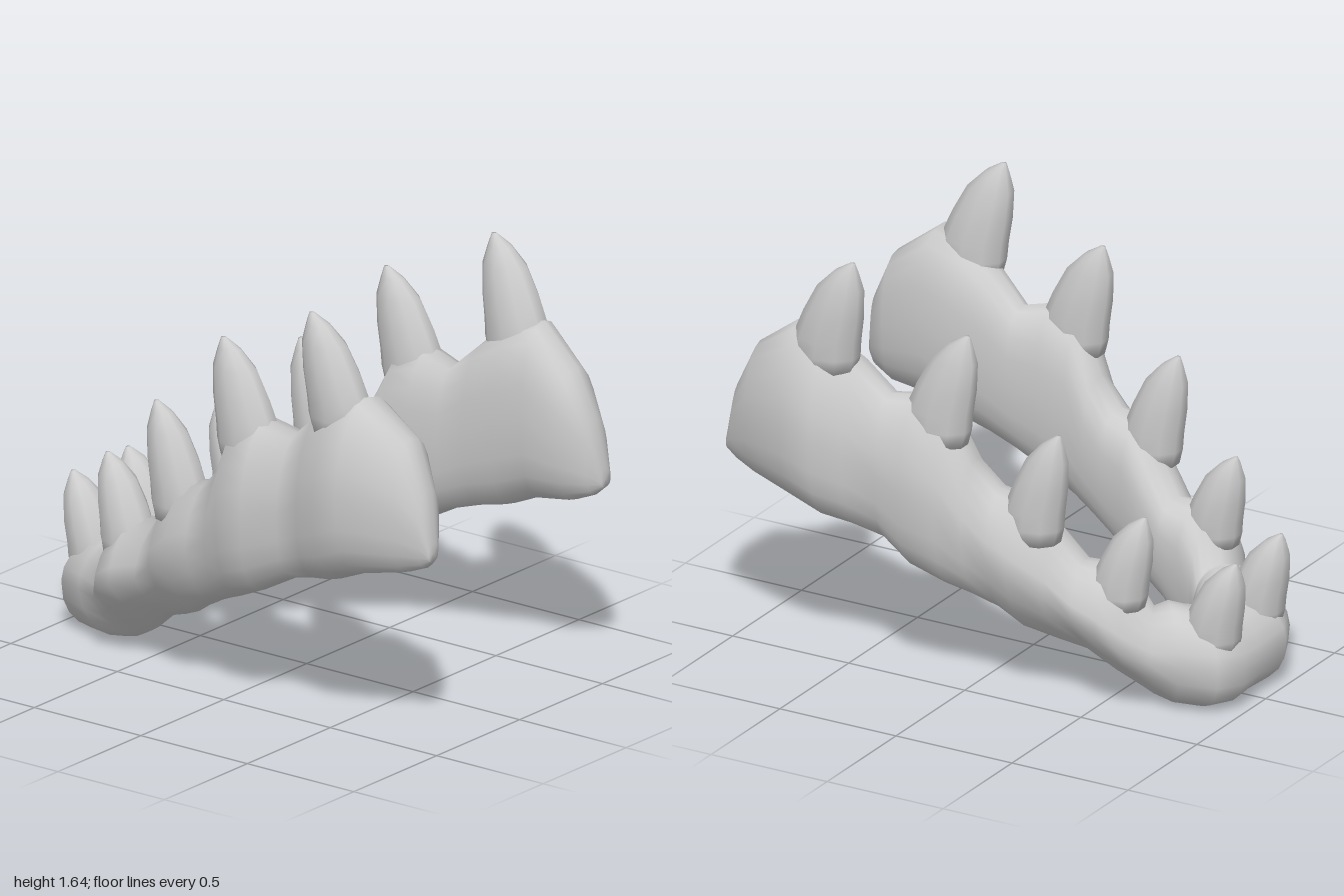
import * as THREE from 'three';

const material = new THREE.MeshStandardMaterial({ color: 0xcccccc });

// Skins a list of equal-length rings and closes both ends with fans
function loft(rings) {
  const n = rings[0].length, last = rings.length - 1;
  const points = rings.flat();
  const index = [];
  for (let i = 0; i < last; i++) {
    for (let j = 0; j < n; j++) {
      const k = (j + 1) % n;
      const a = i * n + j, b = i * n + k, c = a + n, d = b + n;
      index.push(a, c, b, b, c, d);
    }
  }
  const addCap = (ring, start, flip) => {
    const centre = new THREE.Vector3();
    ring.forEach(p => centre.addScaledVector(p, 1 / n));
    const id = points.push(centre) - 1;
    for (let j = 0; j < n; j++) {
      const k = (j + 1) % n;
      index.push(id, start + (flip ? k : j), start + (flip ? j : k));
    }
  };
  addCap(rings[0], 0, false);
  addCap(rings[last], last * n, true);
  const geometry = new THREE.BufferGeometry().setFromPoints(points);
  geometry.setIndex(index);
  geometry.computeVertexNormals();
  return geometry;
}

// Jaw stations from hind end to chin:
// inner x, z, outer x, z, bottom y, top y, inward slope of the outer underside
const stations = [
  [0.49, 1.0, 0.55, 1.0, 0.77, 0.84],
  [0.44, 0.965, 0.575, 0.965, 0.735, 1.04],
  [0.38, 0.88, 0.625, 0.88, 0.70, 1.22],
  [0.365, 0.72, 0.705, 0.68, 0.665, 1.355],
  [0.36, 0.58, 0.69, 0.56, 0.61, 1.31],
  [0.36, 0.45, 0.645, 0.45, 0.585, 1.23],
  [0.355, 0.33, 0.61, 0.33, 0.55, 1.12],
  [0.345, 0.20, 0.66, 0.20, 0.48, 1.15],
  [0.345, 0.08, 0.635, 0.06, 0.42, 1.11, 0.08],
  [0.335, -0.01, 0.585, -0.03, 0.38, 0.92, 0.15],
  [0.31, -0.10, 0.57, -0.13, 0.335, 0.82, 0.25],
  [0.285, -0.20, 0.58, -0.22, 0.27, 0.80, 0.33],
  [0.25, -0.30, 0.52, -0.34, 0.22, 0.69, 0.43],
  [0.22, -0.40, 0.475, -0.44, 0.18, 0.56, 0.55],
  [0.185, -0.50, 0.49, -0.55, 0.10, 0.56, 0.66],
  [0.16, -0.57, 0.465, -0.64, 0.055, 0.50, 0.66],
  [0.135, -0.605, 0.36, -0.72, 0.025, 0.38, 0.4],
  [0.105, -0.62, 0.325, -0.82, 0.01, 0.40, 0.14],
  [0.075, -0.63, 0.26, -0.95, 0.005, 0.38],
  [0.04, -0.635, 0.15, -1.0, 0, 0.36],
  [0, -0.64, 0, -0.985, 0, 0.33],
];

// Upright section: squarer on the inner wall, sloping on the outer gum
function jawRing([ix, iz, ox, oz, bottom, top, slope = 0], side) {
  const ring = [], sides = 20;
  for (let j = 0; j < sides; j++) {
    const angle = j / sides * Math.PI * 2;
    const c = Math.cos(angle), s = Math.sin(angle);
    const power = s > 0 && c > 0 ? 1.08 : 0.8;
    const soften = v => Math.sign(v) * Math.abs(v) ** power;
    const across = (0.5 + 0.5 * soften(c)) * (1 - slope * Math.max(0, -s));
    const up = 0.5 + 0.5 * soften(s);
    ring.push(new THREE.Vector3(
      side * THREE.MathUtils.lerp(ix, ox, across),
      THREE.MathUtils.lerp(bottom, top, up),
      THREE.MathUtils.lerp(iz, oz, across)));
  }
  return ring;
}

function createJaw() {
  const leftHalf = stations.map(s => jawRing(s, 1));
  const rightHalf = stations.slice(0, -1).reverse().map(s => jawRing(s, -1));
  return new THREE.Mesh(loft([...leftHalf, ...rightHalf]), material);
}

// Tooth profile: height fraction, lean along z, depth, width
const toothProfile = [
  [-0.02, 0.02, 0.86, 0.94],
  [0.12, 0.04, 1, 1],
  [0.27, 0, 1, 1],
  [0.5, -0.22, 0.89, 0.95],
  [0.75, -0.46, 0.69, 0.75],
  [0.91, -0.66, 0.36, 0.42],
  [1, -0.86, 0.08, 0.1],
];

function createTooth({ x, z, base, tip, depth, width, lean }) {
  const sides = 10;
  const rings = toothProfile.map(([v, shift, d, w]) =>
    Array.from({ length: sides }, (_, j) => {
      const angle = j / sides * Math.PI * 2;
      return new THREE.Vector3(
        x + lean * v + Math.cos(angle) * w * width,
        THREE.MathUtils.lerp(base, tip, v),
        z + (shift + Math.sin(angle) * d) * depth);
    }));
  return new THREE.Mesh(loft(rings), material);
}

// Teeth of one side, hind to front
const teeth = [
  { x: 0.53, z: 0.57, base: 1.2, tip: 1.64, depth: 0.135, width: 0.095, lean: 0.02 },
  { x: 0.497, z: 0.11, base: 0.99, tip: 1.425, depth: 0.135, width: 0.088, lean: -0.005 },
  { x: 0.43, z: -0.262, base: 0.65, tip: 1.08, depth: 0.12, width: 0.092, lean: 0.005 },
  { x: 0.342, z: -0.578, base: 0.42, tip: 0.78, depth: 0.112, width: 0.092, lean: -0.01 },
  { x: 0.157, z: -0.87, base: 0.245, tip: 0.595, depth: 0.112, width: 0.102, lean: 0.008 },
];

export function createModel() {
  const model = new THREE.Group();
  model.name = 'lowerJaw';

  const jaw = createJaw();
  jaw.name = 'jawBone';
  model.add(jaw);

  for (const side of [1, -1]) {
    const row = new THREE.Group();
    row.name = side > 0 ? 'leftTeeth' : 'rightTeeth';
    teeth.forEach((t, i) => {
      const tooth = createTooth({ ...t, x: side * t.x, lean: side * t.lean });
      tooth.name = `${side > 0 ? 'left' : 'right'}Tooth${i + 1}`;
      row.add(tooth);
    });
    model.add(row);
  }
  return model;
}
